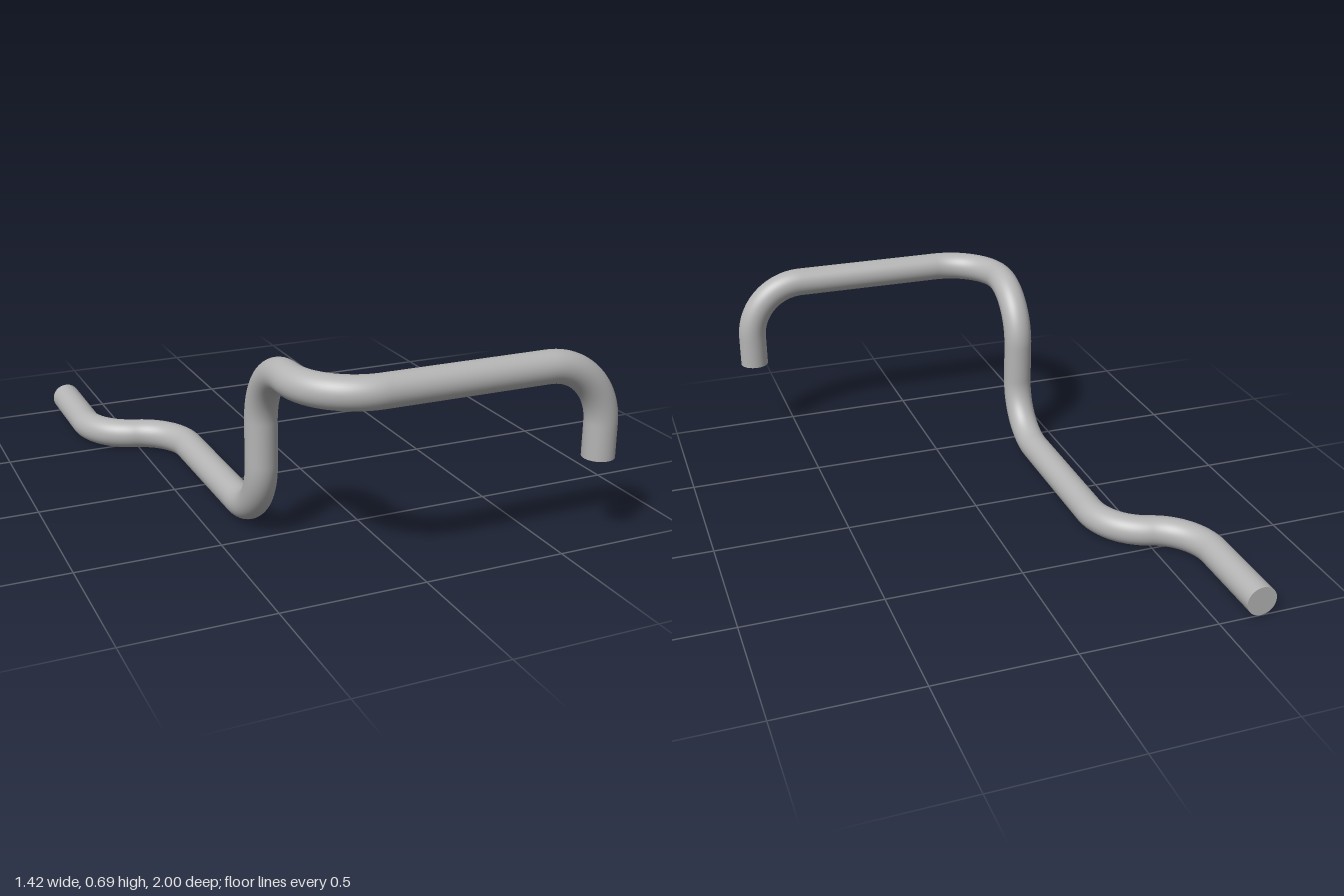
import * as THREE from 'three';

const RADIUS = 0.055; // pipe radius
const BEND = 0.215; // centreline bend radius

// Circular arc: starts at centre + u * r and heads along v
class BendCurve extends THREE.Curve {
  constructor(centre, u, v, r, angle) {
    super();
    Object.assign(this, { centre, u, v, r, angle });
  }
  getPoint(t, target = new THREE.Vector3()) {
    const a = t * this.angle;
    return target.copy(this.centre)
      .addScaledVector(this.u, this.r * Math.cos(a))
      .addScaledVector(this.v, this.r * Math.sin(a));
  }
}

// Straight runs joined by arcs of equal radius at every corner
function filletedPath(points, r) {
  const path = new THREE.CurvePath();
  let from = points[0];
  for (let i = 1; i < points.length - 1; i++) {
    const d1 = points[i].clone().sub(points[i - 1]).normalize();
    const d2 = points[i + 1].clone().sub(points[i]).normalize();
    const angle = d1.angleTo(d2);
    const cut = r * Math.tan(angle / 2);
    const start = points[i].clone().addScaledVector(d1, -cut);
    const u = d1.clone().multiplyScalar(d1.dot(d2)).sub(d2).normalize();
    const centre = start.clone().addScaledVector(u, -r);
    path.add(new THREE.LineCurve3(from, start));
    path.add(new BendCurve(centre, u, d1, r, angle));
    from = points[i].clone().addScaledVector(d2, cut);
  }
  path.add(new THREE.LineCurve3(from, points[points.length - 1]));
  return path;
}

export function createModel() {
  const group = new THREE.Group();
  group.name = 'bentPipe';
  const grey = new THREE.MeshStandardMaterial({ color: 0xb4b4b4 });
  grey.name = 'grey';

  const corners = [
    [-0.655, 0.055, -1], // back end
    [-0.655, 0.055, -0.515], // sideways jog
    [-0.355, 0.055, -0.419],
    [-0.355, 0.055, 0.5], // riser
    [-0.355, 0.635, 0.5],
    [-0.355, 0.635, 0.945], // front crossbar
    [0.655, 0.635, 0.945],
    [0.655, 0.3, 0.945], // downturned end
  ].map((p) => new THREE.Vector3(...p));

  // Pipe body
  const path = filletedPath(corners, BEND);
  const pipe = new THREE.Mesh(new THREE.TubeGeometry(path, 280, RADIUS, 40), grey);
  pipe.name = 'pipe';
  group.add(pipe);

  // Flat end caps, facing outward
  const addCap = (name, end, neighbour) => {
    const cap = new THREE.Mesh(new THREE.CircleGeometry(RADIUS, 40), grey);
    cap.name = name;
    const out = end.clone().sub(neighbour).normalize();
    cap.quaternion.setFromUnitVectors(new THREE.Vector3(0, 0, 1), out);
    cap.position.copy(end);
    group.add(cap);
  };
  addCap('backCap', corners[0], corners[1]);
  addCap('frontCap', corners[7], corners[6]);

  return group;
}
